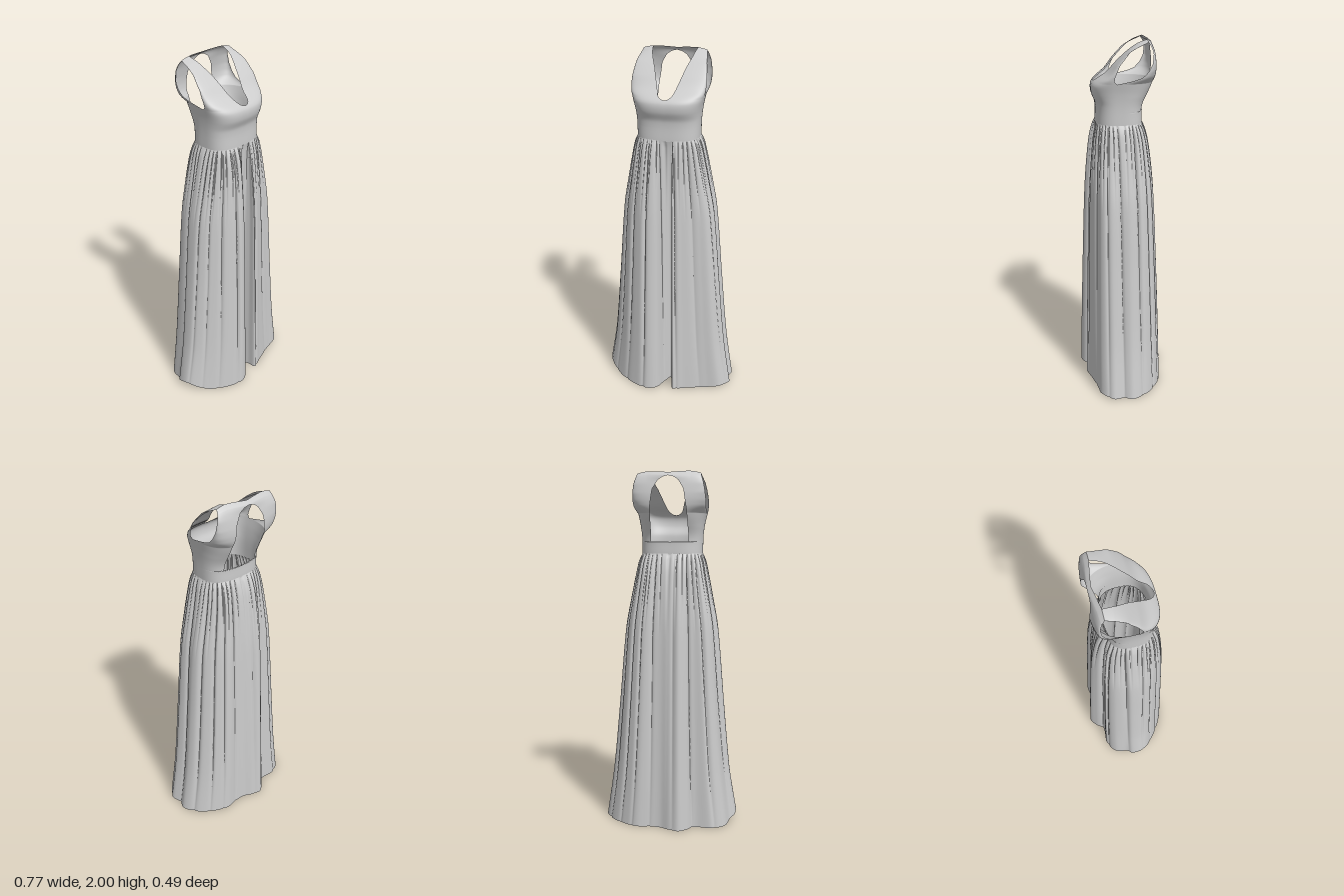
import * as THREE from 'three';
import { mergeGeometries, mergeVertices } from 'three/addons/utils/BufferGeometryUtils.js';

const CX = -0.01; // the bodice sits slightly off centre

// Table lookup [[key, value], ...]: straight or smooth
function lookup(table, k, smooth = false) {
  const n = table.length;
  if (k <= table[0][0]) return table[0][1];
  if (k >= table[n - 1][0]) return table[n - 1][1];
  let i = 0;
  while (k > table[i + 1][0]) i++;
  const [a, va] = table[i], [b, vb] = table[i + 1];
  const t = (k - a) / (b - a);
  if (!smooth) return va + (vb - va) * t;
  const slope = j => {
    const p = table[Math.max(j - 1, 0)], q = table[Math.min(j + 1, n - 1)];
    return (q[1] - p[1]) / (q[0] - p[0]) * (b - a);
  };
  const t2 = t * t, t3 = t2 * t;
  return (2 * t3 - 3 * t2 + 1) * va + (t3 - 2 * t2 + t) * slope(i) + (3 * t2 - 2 * t3) * vb + (t3 - t2) * slope(i + 1);
}

const spow = (v, e) => Math.sign(v) * Math.pow(Math.abs(v), e);
const ROUND = 0.7; // superellipse exponent of the body sections

// Grid of rows x cols points into an indexed surface
function grid(rows, cols, point, wrap = false, flip = false) {
  const pos = [], idx = [];
  for (let r = 0; r < rows; r++) for (let c = 0; c < cols; c++) pos.push(...point(r, c));
  for (let r = 0; r < rows - 1; r++) {
    for (let c = 0; c < (wrap ? cols : cols - 1); c++) {
      const d = (c + 1) % cols;
      const p = r * cols + c, q = r * cols + d, s = p + cols, t = q + cols;
      if (flip) idx.push(p, t, q, p, s, t);
      else idx.push(p, q, t, p, t, s);
    }
  }
  const g = new THREE.BufferGeometry();
  g.setAttribute('position', new THREE.Float32BufferAttribute(pos, 3));
  g.setIndex(idx);
  return g;
}

// Bodice profiles by height
const halfWidth = [[1.55, 0.17], [1.65, 0.172], [1.72, 0.18], [1.82, 0.2], [1.9, 0.196], [2, 0.175]];
const frontZ = [[1.55, 0.145], [1.655, 0.145], [1.71, 0.165], [1.755, 0.165], [1.78, 0.145], [1.82, 0.09],
  [1.88, 0.037], [1.935, -0.018], [1.98, -0.075], [2, -0.125]];
const backZ = [[1.55, -0.11], [1.65, -0.115], [1.75, -0.16], [1.8, -0.176], [1.85, -0.18], [1.9, -0.174], [1.95, -0.162],
  [1.98, -0.148], [2, -0.125]];
// Side seam, opening into the armhole above 1.775
const frontSide = [[1.55, 0.0175], [1.7, 0.02], [1.775, 0.04], [1.79, 0.052], [1.81, 0.05], [1.87, 0.025], [1.935, -0.028],
  [1.975, -0.08], [2, -0.125]];
const backSide = [[1.55, 0.0175], [1.7, 0.02], [1.775, 0.04], [1.785, -0.01], [1.795, -0.055], [1.81, -0.095], [1.84, -0.125],
  [1.88, -0.145], [1.93, -0.15], [1.98, -0.137], [2, -0.125]];
// Half widths of the neckline in front and of the keyhole behind
const frontOpening = [[1.772, 0], [1.776, 0.018], [1.785, 0.033], [1.8, 0.043], [1.84, 0.058], [1.91, 0.083], [1.96, 0.107], [2, 0.122]];
const backOpening = [[1.62, 0], [1.6215, 0.105], [1.8, 0.1], [1.9, 0.085], [1.95, 0.055], [1.972, 0.026], [1.98, 0]];

const bodiceRows = [1.62, 1.6215, 1.772, 1.776, 1.98];
for (let i = 0; i <= 60; i++) bodiceRows.push(1.55 + 0.45 * i / 60);
bodiceRows.sort((a, b) => a - b);

// One quarter of the bodice, from the centre edge to the side
function bodicePanel(side, front) {
  const cols = 25;
  return grid(bodiceRows.length, cols, (r, c) => {
    const h = bodiceRows[r];
    const w = lookup(halfWidth, h, true);
    const zc = lookup(front ? frontZ : backZ, h, true);
    const zs = lookup(front ? frontSide : backSide, h);
    const open = lookup(front ? frontOpening : backOpening, h);
    const a0 = Math.asin(Math.pow(open / w, 1 / ROUND));
    const a = a0 + (Math.PI / 2 - a0) * c / (cols - 1);
    const x = w * Math.pow(Math.sin(a), ROUND);
    let z = zs + (zc - zs) * Math.pow(Math.max(Math.cos(a), 0), ROUND);
    let y = h;
    // shoulders drop outward, the back neck band dips at the centre
    const top = THREE.MathUtils.smoothstep(h, 1.93, 2);
    y -= 0.015 * top * (x / w) ** 4;
    if (!front) {
      const mid = Math.max(0, 1 - x / 0.12);
      y -= 0.01 * top * mid;
      z -= 0.02 * top * mid;
    }
    return [CX + side * x, y, z];
  }, false, (side > 0) !== front);
}

function bodiceGeometry() {
  const panels = [];
  for (const side of [1, -1]) for (const front of [true, false]) panels.push(bodicePanel(side, front));
  const g = mergeVertices(mergeGeometries(panels), 1e-5);
  g.computeVertexNormals();
  return g;
}

// Hem outline [x, z], from the front pleat round the left side and back
const hemOutline = [[0.015, 0.11], [0.04, 0.165], [0.05, 0.218], [0.12, 0.195], [0.2, 0.172], [0.25, 0.16], [0.33, 0.145],
  [0.38, 0.08], [0.367, 0.02], [0.38, -0.035], [0.33, -0.12], [0.25, -0.18], [0.17, -0.213], [0.1, -0.207], [0.03, -0.21],
  [-0.03, -0.238], [-0.08, -0.248], [-0.125, -0.215], [-0.16, -0.175], [-0.27, -0.175], [-0.335, -0.13], [-0.36, -0.06],
  [-0.385, -0.025], [-0.383, 0.055], [-0.3, 0.145], [-0.2, 0.213], [-0.11, 0.245], [-0.05, 0.225], [-0.015, 0.165]];

// Skirt flare from waist (0) to hem (1), across and in depth
const flareX = [[0, 1], [0.3, 0.8], [0.7, 0.62], [1.13, 0.44], [1.3, 0.3], [1.5, 0.11], [1.53, 0.06], [1.555, 0]];
const flareZ = [[0, 1], [0.3, 0.92], [0.7, 0.79], [1.13, 0.62], [1.3, 0.5], [1.45, 0.33], [1.52, 0.16], [1.555, 0]];
const foldDepth = [[0, 0.008], [0.4, 0.016], [1, 0.02], [1.4, 0.016], [1.53, 0.006], [1.555, 0]];
const gatherDepth = [[0, 0], [1.1, 0], [1.4, 0.008], [1.52, 0.012], [1.548, 0.006], [1.555, 0]];

function skirtGeometry() {
  const cols = 480, rows = 64;
  const curve = new THREE.CatmullRomCurve3(hemOutline.map(([x, z]) => new THREE.Vector3(x, 0, z)), true, 'centripetal');
  const hem = curve.getSpacedPoints(cols);
  const crease = v => Math.pow(1 - Math.abs(Math.sin(v)), 3);
  const g = grid(rows, cols, (r, c) => {
    const t = r / (rows - 1);
    const h = 1.555 * (1 - Math.pow(1 - t, 1.6)); // rows crowd towards the gathers
    const p = hem[c];
    const a = Math.atan2(p.x / 0.38, p.z / 0.245);
    const sx = CX + 0.17 * spow(Math.sin(a), ROUND);
    const sz = 0.0175 + 0.1275 * spow(Math.cos(a), ROUND);
    const fx = lookup(flareX, h, true), fz = lookup(flareZ, h, true);
    // long folds and short gathers cut inward as sharp creases
    const cut = lookup(foldDepth, h) * crease(8.5 * a + 0.9 * Math.sin(2 * a + 1) + 0.5 * Math.sin(5 * a) + 0.15 * h)
      * (0.75 + 0.25 * Math.sin(3 * a + 2))
      + lookup(gatherDepth, h) * crease(19 * a + 0.7 * Math.sin(4 * a));
    const x = sx + (p.x - sx) * fx - cut * Math.sin(a);
    const z = sz + (p.z - sz) * fz - cut * Math.cos(a);
    // hem kicks up at the right side and lifts a little at the left front
    const kick = 0.05 * Math.exp(-((p.x + 0.385) ** 2 + (p.z - 0.04) ** 2) / 0.008)
      + 0.018 * Math.exp(-((p.x - 0.33) ** 2 + (p.z - 0.12) ** 2) / 0.004);
    return [x, h + kick * Math.max(0, 1 - h / 0.3), z];
  }, true);
  g.computeVertexNormals();
  return g;
}

export function createModel() {
  const cloth = new THREE.MeshStandardMaterial({ color: 0xcccccc, side: THREE.DoubleSide });
  const model = new THREE.Group();
  model.name = 'dress';
  const add = (name, geometry) => {
    const mesh = new THREE.Mesh(geometry, cloth);
    mesh.name = name;
    model.add(mesh);
  };
  add('bodice', bodiceGeometry());
  add('skirt', skirtGeometry());
  return model;
}
